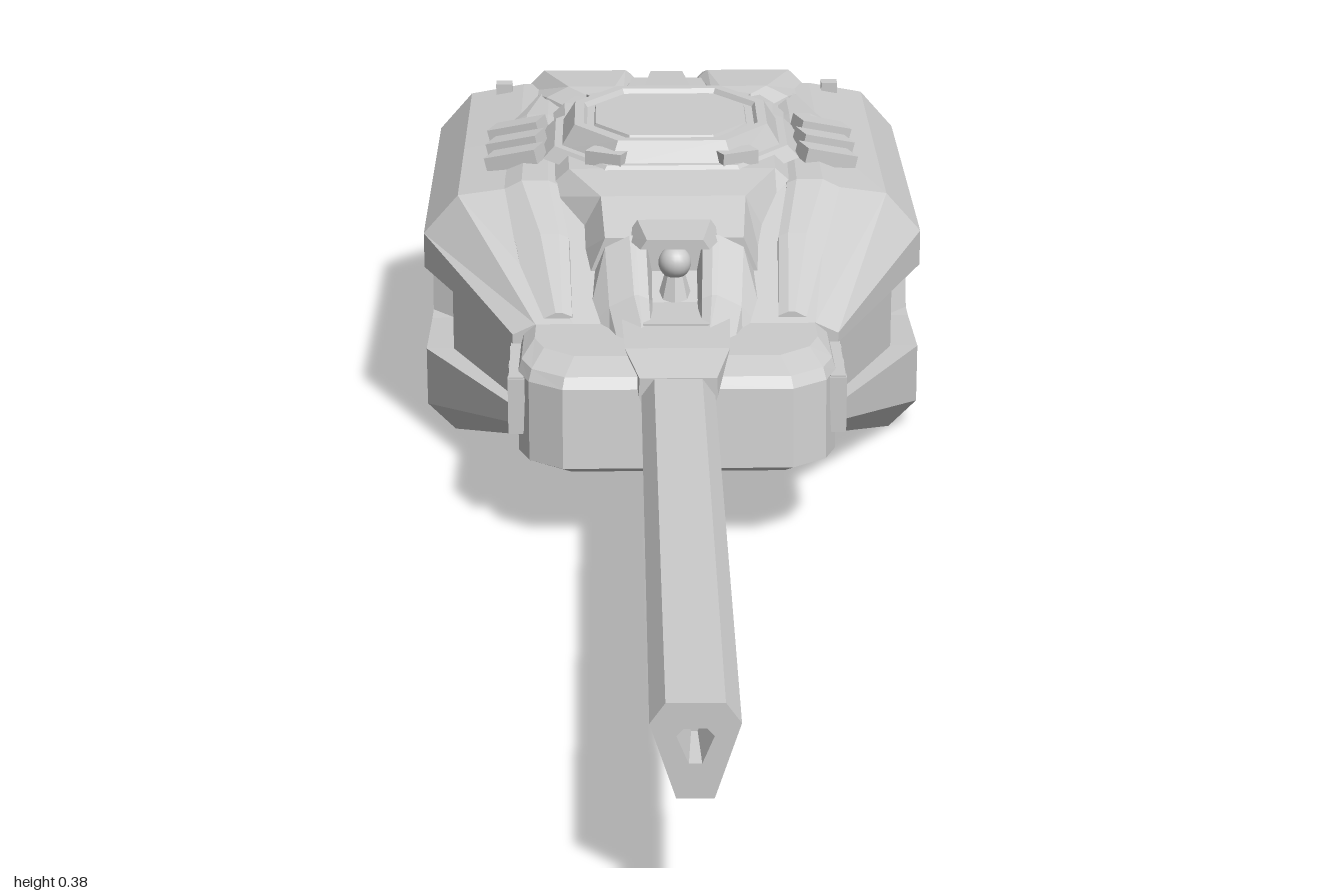
import * as THREE from 'three';

const material = new THREE.MeshStandardMaterial({ color: 0xcccccc, flatShading: true, side: THREE.DoubleSide });
const smooth = new THREE.MeshStandardMaterial({ color: 0xcccccc });

// Skin a stack of closed rings of [x, y, z], cap both ends, and face outwards.
function loft(rings) {
  const tris = [];
  const n = rings[0].length;
  const centre = (r) => [0, 1, 2].map((k) => r.reduce((s, p) => s + p[k], 0) / n);
  const first = rings[0], last = rings[rings.length - 1];
  const c0 = centre(first), c1 = centre(last);
  for (let i = 0; i < n; i++) {
    const j = (i + 1) % n;
    for (let k = 0; k + 1 < rings.length; k++) {
      const a = rings[k], b = rings[k + 1];
      tris.push([a[i], a[j], b[j]], [a[i], b[j], b[i]]);
    }
    tris.push([c0, first[j], first[i]], [c1, last[i], last[j]]);
  }
  const vol = tris.reduce((s, [a, b, c]) => s + a[0] * (b[1] * c[2] - b[2] * c[1])
    + a[1] * (b[2] * c[0] - b[0] * c[2]) + a[2] * (b[0] * c[1] - b[1] * c[0]), 0);
  if (vol < 0) tris.forEach((t) => t.reverse());
  const g = new THREE.BufferGeometry();
  g.setAttribute('position', new THREE.Float32BufferAttribute(tris.flat(2), 3));
  g.computeVertexNormals();
  return g;
}

const flip = (r) => r.map(([x, y, z]) => [-x, y, z]);
// Close a half profile by mirroring it across x = 0.
const whole = (half) => [...half, ...flip(half).reverse()];
// Trapezoid section across the body: top and bottom half widths and heights.
const trapezoid = (z, wt, yt, wb, yb) => whole([[wb, yb, z], [wt, yt, z]]);
// Section of an off-centre part: inner and outer x, top y, bottom y, outer bottom flare.
const rib = (z, x0, x1, yt, yb, flare = 0.02, drop = 0.015) => [
  [x0 - flare / 2, yb, z], [x0, yt - drop / 3, z], [x0 + 0.012, yt, z],
  [x1 - 0.03, yt, z], [x1, yt - drop, z], [x1 + flare, yb, z]];
// Flat polygon standing at depth z.
const at = (pts, z) => pts.map(([x, y]) => [x, y, z]);

// Hull section: half width, floor, chamfer, recess band (low, high, inset), backward lean, upper heights.
function hullSection(z, w, floor, chamfer, low, high, inset, lean, side, shoulder, deck) {
  const zt = z - lean;
  return whole([
    [w - chamfer, floor, z], [w, floor + chamfer, z], [w, low, z], [w - inset, low, z],
    [w - inset, high, zt], [w, high, zt], [w, side, zt], [w * 0.86, shoulder, zt], [w * 0.63, deck, zt]]);
}

export function createModel() {
  const model = new THREE.Group();
  const add = (name, geometry, x = 0, y = 0, z = 0, mat = material) => {
    const m = new THREE.Mesh(geometry, mat);
    m.name = name;
    m.position.set(x, y, z);
    model.add(m);
    return m;
  };
  const pair = (name, rings) => {
    add(name + 'Left', loft(rings));
    add(name + 'Right', loft(rings.map(flip)));
  };

  // Hull: faceted shell with a recessed band on the front half of each side
  add('hull', loft([
    hullSection(-.06, .197, .082, .016, .12, .2, .015, 0, .212, .225, .225),
    hullSection(-.3, .315, 0, .035, .11, .22, .035, 0, .265, .315, .325),
    hullSection(-.45, .315, 0, .035, .1, .25, .03, .06, .265, .315, .328),
    hullSection(-.485, .315, 0, .035, .1, .25, 0, .06, .265, .315, .328),
    hullSection(-.785, .315, 0, .035, .11, .25, 0, 0, .265, .315, .328),
    hullSection(-.965, .155, .06, .016, .11, .19, 0, .01, .22, .25, .265)]));

  // Raised deck behind the sight, with a channel between the rear pods
  add('deck', loft([
    trapezoid(-.15, .085, .305, .12, .22), trapezoid(-.23, .09, .334, .135, .25),
    trapezoid(-.31, .13, .346, .17, .31), trapezoid(-.62, .14, .346, .18, .31),
    trapezoid(-.78, .09, .338, .14, .28), trapezoid(-.975, .06, .265, .1, .2)]));
  add('rearSpine', loft([
    trapezoid(-.66, .035, .35, .05, .3), trapezoid(-.8, .022, .342, .03, .3),
    trapezoid(-.985, .022, .275, .03, .2)]));
  pair('frontBrow', [rib(-.15, .035, .085, .308, .22, .03), rib(-.07, .032, .08, .258, .21, .03), rib(-.005, .03, .07, .236, .2, .01)]);
  pair('cheekRidge', [
    rib(-.07, .125, .175, .236, .2, .01), rib(-.2, .13, .195, .295, .22, .02),
    rib(-.3, .145, .22, .334, .28), rib(-.6, .15, .22, .336, .28), rib(-.74, .15, .2, .33, .28)]);

  // Sight: ball lens set into the notch between the brows
  add('sightFloor', new THREE.BoxGeometry(.08, .03, .14), 0, .225, -.085);
  add('sightHood', loft([trapezoid(-.1, .034, .318, .042, .306), trapezoid(-.17, .045, .322, .06, .3)]));
  add('sightLens', new THREE.SphereGeometry(.02, 20, 14), 0, .285, -.115, smooth);
  add('sightPedestal', new THREE.CylinderGeometry(.012, .022, .035, 8), 0, .255, -.115);

  // Gun mantlet: chamfered block, stacked upwards
  const plan = (y, s, d) => whole([[.186 * s, y, -.13], [.188 * s, y, .05 - d], [.175 * s, y, .085 - d], [.135 * s, y, .115 - d]]);
  add('mantlet', loft([plan(.098, .93, .012), plan(.106, 1, 0), plan(.2, 1, .012), plan(.213, .98, .02), plan(.225, .9, .06)]));
  add('mantletCollar', loft([
    at(whole([[.065, .238], [.05, .205], [.02, .122]]), -.04),
    at(whole([[.062, .236], [.05, .205], [.02, .122]]), .06),
    at(whole([[.045, .222], [.046, .2], [.02, .122]]), .125)]));

  // Side racks: open frames of two rows by three cells
  for (const s of [-1, 1]) {
    for (const y of [.133, .165, .197]) add('rackRail', new THREE.BoxGeometry(.018, .007, .165), s * .19, y, -.022);
    for (const z of [-.1, -.048, .004, .056]) add('rackPost', new THREE.BoxGeometry(.02, .068, .014), s * .19, .165, z);
  }

  // Barrel: six-sided tube with a hollow tapered bore
  const gun = whole([[.028, .221], [.043, .2], [.018, .123]]);
  const bore = (r) => gun.map(([x, y]) => {
    const d = Math.hypot(x, y - .178);
    return [x / d * r, .178 + (y - .178) / d * r];
  });
  add('barrel', loft([at(gun, -.02), at(gun, 1), at(bore(.02), 1), at(bore(.01), .95)]));

  // Cupola: eight-sided hatch ring with a sunken lid
  const corners = whole([[.55, 1], [1, .42], [1, -.42], [.55, -1]]);
  const oct = (y, w, d) => corners.map(([x, z]) => [x * w, y, -.465 + z * d]);
  add('cupolaBase', loft([oct(.335, .165, .17), oct(.35, .15, .155)]));
  add('cupolaRing', loft([oct(.345, .143, .148), oct(.376, .124, .132), oct(.376, .112, .118), oct(.37, .108, .113)]));
  add('hatchLid', loft([oct(.365, .1, .105), oct(.374, .097, .1)]));
  for (const sx of [-1, 1]) {
    for (const sz of [-1, 1]) {
      const block = add('periscope', new THREE.BoxGeometry(.05, .02, .026), sx * .082, .354, -.465 + sz * .134);
      block.rotation.y = sx * sz * .45;
    }
    // Cooling ribs beside the cupola and a small deck stud
    for (let i = 0; i < 3; i++) {
      const fin = add('coolingRib', new THREE.BoxGeometry(.07, .022, .04), sx * .2, .334, -.4 - i * .065);
      fin.rotation.set(0, sx * .3, -sx * .25);
    }
    add('deckStud', new THREE.BoxGeometry(.022, .02, .022), sx * .225, .326, -.765);
  }

  // Rear pods with open hexagonal outlets
  pair('rearPod', [
    rib(-.645, .065, .13, .345, .31, .01), rib(-.69, .06, .165, .35, .3, .015),
    rib(-.79, .045, .2, .346, .28, .015, .03), rib(-.89, .04, .19, .316, .23, .01, .04),
    rib(-.97, .04, .145, .28, .19, .005, .03)]);
  const outlet = [[.045, .2], [.037, .245], [.055, .28], [.115, .278], [.138, .245], [.125, .2]];
  const shrink = (k) => outlet.map(([x, y]) => [.088 + (x - .088) * k, .24 + (y - .24) * k]);
  pair('rearOutlet', [at(outlet, -.96), at(outlet, -.988), at(shrink(.9), -1), at(shrink(.7), -1), at(shrink(.6), -.972)]);

  // Rear plate with slats
  const plate = whole([[.07, .105], [.1, .135], [.075, .195]]);
  add('rearPlate', loft([at(plate, -.95), at(plate, -.985)]));
  for (const y of [.13, .15, .17]) add('rearSlat', new THREE.BoxGeometry(.11, .009, .012), 0, y, -.988);

  // Side vents: raised frames lying on the slanted rear quarters
  const ventEdge = [[-.045, -.03], [.045, -.02], [.05, .03], [-.02, .035]];
  const onQuarter = (k, out) => ventEdge.map(([u, v]) => [
    .235 - u * k * .664 + out * .747, .17 + v * k, -.875 - u * k * .747 - out * .664]);
  pair('sideVent', [onQuarter(1, -.01), onQuarter(1, .008), onQuarter(.75, .008), onQuarter(.65, .001)]);

  // Raised lower panels on the flanks
  const panel = (x) => [[x, .07, -.6], [x, .14, -.64], [x, .14, -.77], [x, .06, -.77]];
  pair('flankPanel', [panel(.31), panel(.318)]);
  return model;
}
